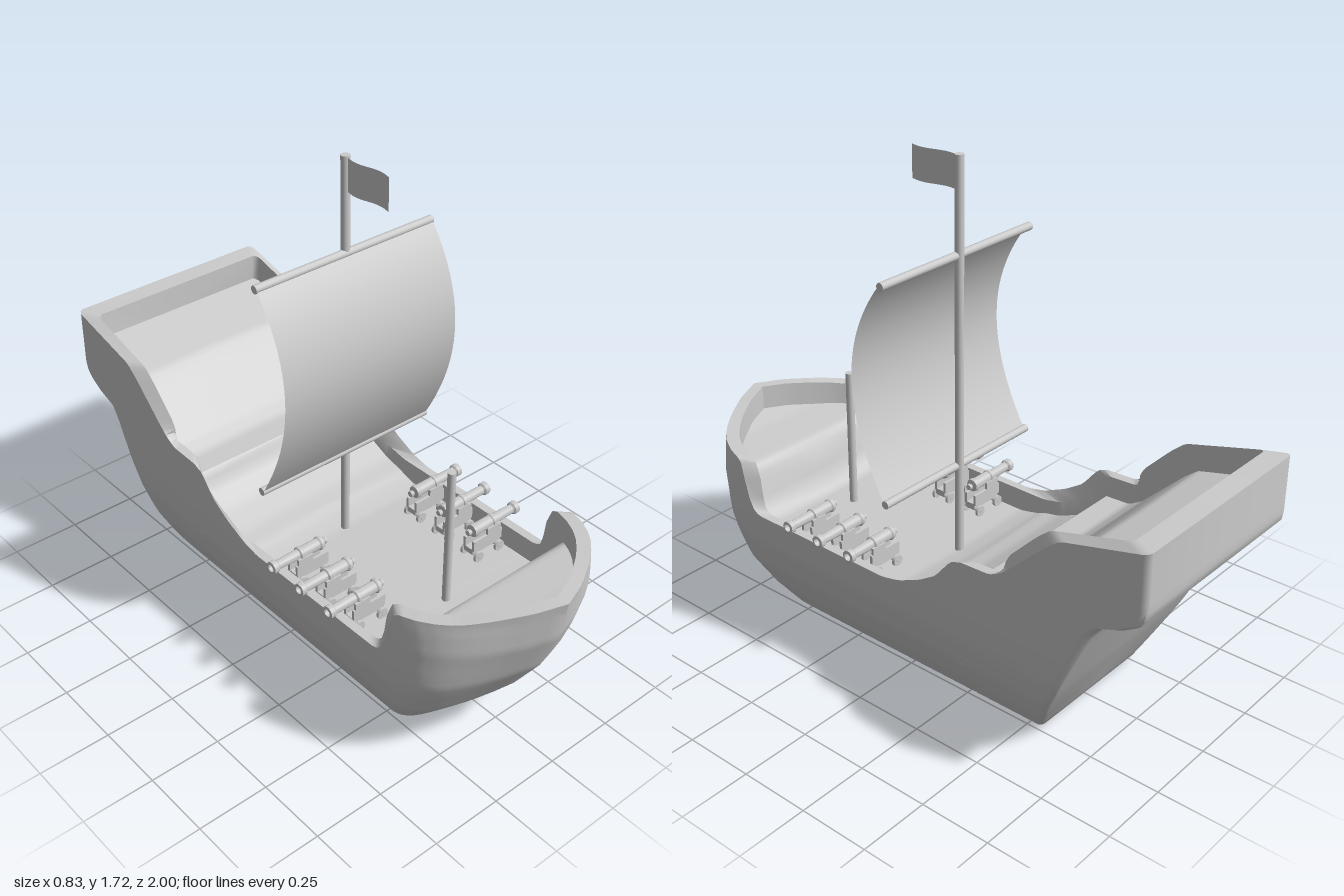
import * as THREE from 'three';
import { toCreasedNormals } from 'three/addons/utils/BufferGeometryUtils.js';

const material = new THREE.MeshStandardMaterial({ color: 0xcccccc });
const thin = new THREE.MeshStandardMaterial({ color: 0xcccccc, side: THREE.DoubleSide });

// Linear interpolation through [input, output] pairs in ascending order
function curve(points) {
  return (t) => {
    if (t <= points[0][0]) return points[0][1];
    for (let i = 1; i < points.length; i++) {
      const [a, va] = points[i - 1], [b, vb] = points[i];
      if (t <= b) return va + ((vb - va) * (t - a)) / (b - a);
    }
    return points[points.length - 1][1];
  };
}

// Hull lines: rail height along z, end profiles by height, half-width by height, bow plan
const rail = curve([[-1, 0.895], [-0.78, 0.84], [-0.7, 0.82], [-0.65, 0.78], [-0.5, 0.635], [-0.45, 0.605],
  [-0.33, 0.6], [-0.29, 0.585], [-0.23, 0.51], [-0.16, 0.465], [-0.07, 0.425], [0, 0.41], [0.58, 0.415],
  [0.61, 0.435], [0.63, 0.49], [0.65, 0.585], [0.67, 0.605], [0.84, 0.62], [1, 0.65]]);
const sternZ = curve([[0, -0.54], [0.03, -0.565], [0.25, -0.68], [0.55, -0.82], [0.585, -0.845], [0.605, -0.91],
  [0.65, -0.985], [0.68, -1]]);
const bowZ = curve([[0, 0.58], [0.02, 0.62], [0.1, 0.715], [0.2, 0.815], [0.35, 0.915], [0.5, 0.975], [0.65, 1]]);
const halfWidth = curve([[0, 0.23], [0.015, 0.245], [0.1, 0.3], [0.2, 0.348], [0.3, 0.372], [0.4, 0.381], [0.6, 0.383]]);
const bowPlan = curve([[0, 0], [0.04, 0.27], [0.1, 0.53], [0.14, 0.67], [0.18, 0.78], [0.22, 0.86], [0.27, 0.93],
  [0.33, 0.98], [0.4, 1]]);

function hullGeometry() {
  // Columns run from the transom centre round one side to the stem
  const columns = [[-1, 0], [-1, 0.95], [-0.995, 0.98], [-0.98, 1]];
  const steps = 110, rows = 32;
  for (let i = 1; i <= steps; i++) columns.push([-0.98 + (1.98 * i) / steps, 1]);

  const perColumn = rows + 5;
  const position = [], index = [];
  for (const side of [1, -1]) {
    const base = position.length / 3;
    for (const [z, scale] of columns) {
      const top = rail(z);
      const f = (z - sternZ(top)) / (bowZ(top) - sternZ(top));
      const zAt = (y) => sternZ(y) + f * (bowZ(y) - sternZ(y));
      position.push(0, 0, zAt(0));
      for (let r = 0; r <= rows; r++) {
        const y = (top * r) / rows;
        const sharpness = 0.35 + 0.65 * Math.min(1, y / 0.6);
        const x = halfWidth(y) * scale * bowPlan(((1 - f) * 2) / sharpness);
        position.push(side * x, y, zAt(y));
      }
      // Inner rail, foot of the bulwark and deck centre
      const zi = -0.925 + f * 1.88;
      const xi = 0.35 * scale * bowPlan((1 - f) * 1.95);
      const deck = Math.min(rail(zi > 0.5 ? zi - 0.03 : zi) - 0.075, top - 0.05);
      position.push(side * xi, top, zi, side * xi * 0.98, deck, zi, 0, deck, zi);
    }
    for (let c = 0; c < columns.length - 1; c++) {
      for (let r = 0; r < perColumn - 1; r++) {
        const a = base + c * perColumn + r, b = a + 1, d = a + perColumn, e = d + 1;
        if (side > 0) index.push(a, b, d, b, e, d);
        else index.push(a, d, b, b, d, e);
      }
    }
  }
  const geometry = new THREE.BufferGeometry();
  geometry.setAttribute('position', new THREE.Float32BufferAttribute(position, 3));
  geometry.setIndex(index);
  return toCreasedNormals(geometry, 0.7);
}

function add(parent, name, geometry, x = 0, y = 0, z = 0, mat = material) {
  const mesh = new THREE.Mesh(geometry, mat);
  mesh.name = name;
  mesh.position.set(x, y, z);
  parent.add(mesh);
  return mesh;
}

// Plane whose vertices are pushed along z by a rule
function bentPlane(width, height, nx, ny, rule) {
  const geometry = new THREE.PlaneGeometry(width, height, nx, ny);
  const p = geometry.attributes.position;
  for (let i = 0; i < p.count; i++) p.setZ(i, rule(p.getX(i) / width + 0.5, p.getY(i) / height + 0.5));
  geometry.computeVertexNormals();
  return geometry;
}

// Cannon pointing along +x, muzzle outboard
function cannon() {
  const group = new THREE.Group();
  const outline = [[0, 0.185], [0.01, 0.188], [0.012, 0.196], [0.008, 0.203], [0.022, 0.207], [0.024, 0.22],
    [0.02, 0.225], [0.02, 0.29], [0.023, 0.293], [0.023, 0.303], [0.018, 0.307], [0.016, 0.39], [0.022, 0.396],
    [0.022, 0.414], [0.013, 0.416], [0.012, 0.39], [0, 0.39]].map(([r, h]) => new THREE.Vector2(r, h));
  const barrel = add(group, 'barrel', toCreasedNormals(new THREE.LatheGeometry(outline, 16), 0.6), 0, 0.45, 0);
  barrel.rotation.z = -Math.PI / 2;
  add(group, 'carriageBed', new THREE.BoxGeometry(0.13, 0.02, 0.04), 0.262, 0.375);
  for (const s of [1, -1]) {
    // Stepped cheek either side of the barrel
    add(group, 'carriageCheek', new THREE.BoxGeometry(0.13, 0.04, 0.01), 0.262, 0.4, s * 0.02);
    add(group, 'carriageCheekTop', new THREE.BoxGeometry(0.06, 0.03, 0.01), 0.29, 0.43, s * 0.02);
    for (const x of [0.215, 0.31]) {
      const wheel = add(group, 'wheel', new THREE.CylinderGeometry(0.02, 0.02, 0.01, 14), x, 0.356, s * 0.031);
      wheel.rotation.x = Math.PI / 2;
    }
  }
  for (const x of [0.215, 0.31]) {
    const axle = add(group, 'axle', new THREE.CylinderGeometry(0.006, 0.006, 0.075, 8), x, 0.356, 0);
    axle.rotation.x = Math.PI / 2;
  }
  return group;
}

export function createModel() {
  const ship = new THREE.Group();
  ship.name = 'sailingShip';
  add(ship, 'hull', hullGeometry());

  // Masts
  add(ship, 'mainMast', new THREE.CylinderGeometry(0.015, 0.015, 1.4, 16), 0, 1.02, 0);
  add(ship, 'foreMast', new THREE.CylinderGeometry(0.014, 0.014, 0.53, 16), 0, 0.58, 0.5);

  // Yards and billowing sail
  for (const [name, y] of [['upperYard', 1.397], ['lowerYard', 0.66]]) {
    const yard = add(ship, name, new THREE.CylinderGeometry(0.014, 0.014, 0.71, 12), 0, y, 0.004);
    yard.rotation.z = Math.PI / 2;
  }
  const billow = (u, v) => 0.01 + 0.5 * v * (1 - v) * (0.85 + 0.3 * v);
  add(ship, 'sail', bentPlane(0.705, 0.74, 1, 28, billow), 0, 1.03, 0, thin);

  // Flag streaming forward
  const wave = (u) => 0.008 * Math.sin(u * Math.PI * 2);
  const flag = add(ship, 'flag', bentPlane(0.185, 0.11, 16, 1, wave), 0, 1.66, 0.1, thin);
  flag.rotation.y = -Math.PI / 2;

  // Three cannons on each side
  for (const z of [0.12, 0.26, 0.4]) {
    for (const left of [true, false]) {
      const gun = cannon();
      gun.name = left ? 'leftCannon' : 'rightCannon';
      gun.position.z = z;
      if (!left) gun.rotation.y = Math.PI;
      ship.add(gun);
    }
  }
  return ship;
}
